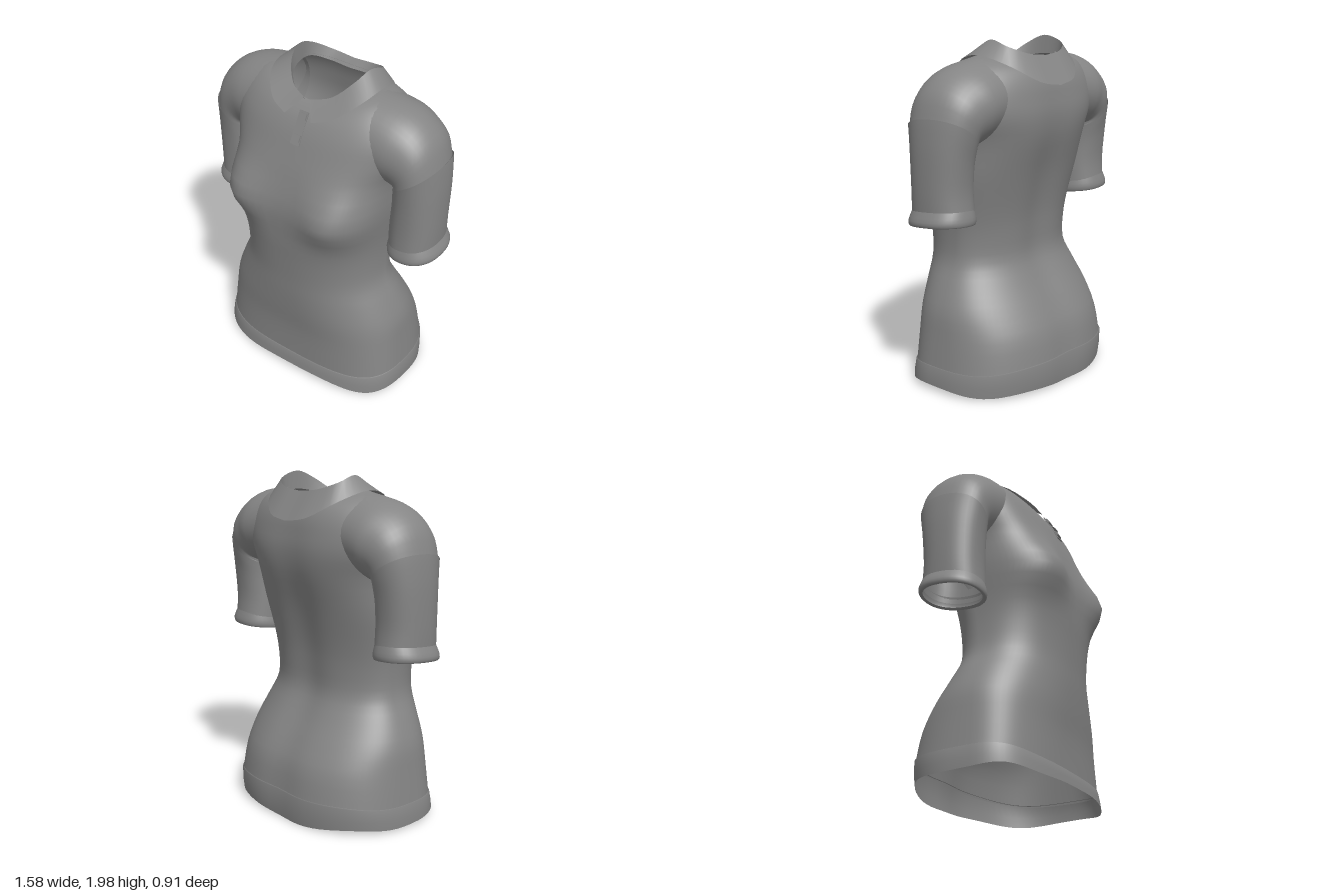
import * as THREE from 'three';

const cloth = new THREE.MeshStandardMaterial({ color: 0x858585, side: THREE.DoubleSide });
cloth.name = 'grey cloth';

// Skin a list of point rings, listed bottom to top
function loft(name, rings, closed = true, flip = false) {
  const n = rings[0].length, idx = [], cols = closed ? n : n - 1;
  for (let i = 0; i < rings.length - 1; i++) {
    for (let j = 0; j < cols; j++) {
      const k = (j + 1) % n;
      const a = i * n + j, b = i * n + k, c = a + n, d = b + n;
      if (flip) idx.push(a, b, c, b, d, c);
      else idx.push(a, c, b, b, c, d);
    }
  }
  const geo = new THREE.BufferGeometry();
  geo.setAttribute('position', new THREE.Float32BufferAttribute(rings.flat(2), 3));
  geo.setIndex(idx);
  geo.computeVertexNormals();
  const mesh = new THREE.Mesh(geo, cloth);
  mesh.name = name;
  return mesh;
}

// Smoothly resample rows of numbers
function smooth(rows, steps) {
  const out = [], at = i => rows[Math.max(0, Math.min(rows.length - 1, i))];
  for (let i = 0; i < rows.length - 1; i++) {
    for (let s = 0; s < steps; s++) {
      const t = s / steps;
      out.push(rows[i].map((p1, k) => {
        const p0 = at(i - 1)[k], p2 = at(i + 1)[k], p3 = at(i + 2)[k];
        return p1 + 0.5 * t * (p2 - p0 + t * (2 * p0 - 5 * p1 + 4 * p2 - p3 + t * (3 * (p1 - p2) + p3 - p0)));
      }));
    }
  }
  out.push(rows[rows.length - 1]);
  return out;
}

const bell = (v, s) => Math.exp(-v * v / (2 * s * s));
const pow = (v, e) => Math.sign(v) * Math.abs(v) ** e;

// Torso section: heights at front, side and back, half width, front z, back z,
// squareness of front and back, z of the side seam
function torsoRing([yF, yS, yB, w, zF, zB, nF, nB, mid], grow = 0, ripple = 0) {
  const ring = [];
  for (let j = 0; j < 80; j++) {
    const a = j / 80 * Math.PI * 2, c = Math.cos(a), s = Math.sin(a);
    const n = s > 0 ? nF : nB;
    const x = (w + grow) * pow(c, 2 / n), out = pow(s, 2 / n);
    const depth = s > 0 ? zF - mid : mid - zB;
    let z = mid + (depth + grow) * out;
    const y = yS + ((s > 0 ? yF : yB) - yS) * s * s + ripple * Math.sin(5 * a + 1);
    if (s > 0) z += 0.075 * out * bell(Math.abs(x) - 0.34, 0.14) * bell(y - 1.25, y < 1.25 ? 0.095 : 0.12);
    else z -= 0.035 * out * bell(x, 0.1) * bell(y - 0.85, 0.6);
    ring.push([x, y, z]);
  }
  return ring;
}

const torsoKeys = [
  [0.12, 0.15, 0.18, 0.62, 0.365, -0.46, 3, 2.5, 0.02],
  [0.32, 0.33, 0.34, 0.60, 0.365, -0.435, 2.8, 2.4, 0.02],
  [0.48, 0.48, 0.48, 0.58, 0.38, -0.37, 2.5, 2.2, 0.02],
  [0.62, 0.62, 0.62, 0.525, 0.39, -0.29, 2.3, 2.1, 0.03],
  [0.75, 0.75, 0.75, 0.465, 0.395, -0.235, 2.3, 2, 0.03],
  [0.90, 0.90, 0.90, 0.455, 0.405, -0.235, 2.4, 2, 0.02],
  [1.05, 1.05, 1.05, 0.465, 0.415, -0.25, 2.7, 2.1, 0],
  [1.25, 1.25, 1.25, 0.49, 0.41, -0.29, 3.4, 2.3, -0.02],
  [1.45, 1.45, 1.45, 0.50, 0.365, -0.345, 2.9, 2.4, -0.03],
  [1.58, 1.59, 1.58, 0.545, 0.32, -0.36, 2.6, 2.5, -0.03],
  [1.68, 1.72, 1.68, 0.56, 0.28, -0.35, 2.4, 2.4, -0.03],
  [1.75, 1.82, 1.76, 0.51, 0.24, -0.335, 2.3, 2.3, -0.03],
  [1.79, 1.88, 1.83, 0.41, 0.205, -0.305, 2.3, 2.3, -0.03],
  [1.82, 1.90, 1.87, 0.31, 0.17, -0.255, 2.3, 2.4, -0.03],
  [1.83, 1.91, 1.89, 0.265, 0.15, -0.22, 2.3, 2.7, -0.03],
];

// Turned hem band, slightly proud of the body: section, growth, ripple
const hemKeys = [
  [[0.04, 0.04, 0.025, 0.625, 0.378, -0.45, 3, 2.4, 0.02], 0.008, 0.01],
  [[0.08, 0.09, 0.09, 0.625, 0.372, -0.46, 3, 2.4, 0.02], 0.008, 0.005],
  [[0.125, 0.155, 0.185, 0.618, 0.365, -0.46, 3, 2.5, 0.02], 0.006, 0.004],
  [[0.13, 0.16, 0.19, 0.618, 0.365, -0.458, 3, 2.5, 0.02], -0.003, 0.004],
];

// Arm section: outer x, y; inner x, y; front z; back z; roundness; forward lean of the top
const sleeveKeys = [
  [0.765, 1.09, 0.475, 1.05, 0.14, -0.22, 0.88, 0],
  [0.77, 1.22, 0.475, 1.18, 0.135, -0.21, 0.88, 0],
  [0.77, 1.42, 0.485, 1.30, 0.14, -0.225, 0.88, 0],
  [0.762, 1.55, 0.49, 1.38, 0.148, -0.25, 0.9, 0.01],
  [0.755, 1.61, 0.49, 1.43, 0.153, -0.265, 0.9, 0.02],
];
const shoulderKeys = [
  [0.748, 1.60, 0.49, 1.41, 0.15, -0.262, 0.92, 0.02],
  [0.707, 1.725, 0.50, 1.42, 0.155, -0.28, 0.95, 0.03],
  [0.62, 1.82, 0.48, 1.42, 0.165, -0.295, 1, 0.04],
  [0.50, 1.873, 0.45, 1.43, 0.18, -0.31, 1, 0.04],
  [0.34, 1.90, 0.35, 1.45, 0.18, -0.30, 1, 0.04],
];
const cuffKeys = [
  [0.765, 1.035, 0.49, 1.02, 0.125, -0.21, 0.88, 0],
  [0.785, 1.03, 0.475, 1.01, 0.145, -0.225, 0.88, 0],
  [0.79, 1.06, 0.468, 1.04, 0.15, -0.23, 0.88, 0],
  [0.762, 1.12, 0.478, 1.09, 0.136, -0.216, 0.88, 0],
];

function armRing([ox, oy, ix, iy, zF, zB, round, lean], side) {
  const ring = [];
  for (let j = 0; j < 40; j++) {
    const a = j / 40 * Math.PI * 2;
    const u = 0.5 + 0.5 * pow(Math.cos(a), round), v = pow(Math.sin(a), round);
    const z = (zF + zB) / 2 + (zF - zB) / 2 * v + lean * pow(u, 2);
    const y = iy + (oy - iy) * u - 0.08 * (z + 0.04);
    ring.push([side * (ix + (ox - ix) * u), y, z]);
  }
  return ring;
}

// Collar edges on the left half, from front opening to centre back
const collarEdges = [
  [[0.09, 1.76, 0.25], [0.2, 1.80, 0.215], [0.31, 1.885, 0.09], [0.335, 1.915, -0.05],
    [0.29, 1.86, -0.24], [0.15, 1.77, -0.35], [0, 1.745, -0.37]],
  [[0.02, 1.84, 0.165], [0.13, 1.87, 0.12], [0.215, 1.95, 0.03], [0.245, 1.995, -0.07],
    [0.245, 1.96, -0.19], [0.14, 1.92, -0.255], [0, 1.905, -0.265]],
  [[0.02, 1.80, 0.15], [0.13, 1.83, 0.10], [0.205, 1.87, 0.03], [0.24, 1.89, -0.07],
    [0.243, 1.88, -0.18], [0.14, 1.87, -0.215], [0, 1.87, -0.207]],
];

function collarRing(keys) {
  const half = new THREE.CatmullRomCurve3(keys.map(k => new THREE.Vector3(...k))).getPoints(24);
  const right = half.map(p => [-p.x, p.y, p.z]);
  const left = half.slice(0, -1).reverse().map(p => [p.x, p.y, p.z]);
  return [...right, ...left];
}

export function createModel() {
  const shirt = new THREE.Group();
  shirt.name = 'poloShirt';

  shirt.add(loft('torso', smooth(torsoKeys, 3).map(r => torsoRing(r))));
  shirt.add(loft('hemBand', hemKeys.map(k => torsoRing(...k))));

  // Shoulders, sleeves and cuffs
  for (const side of [1, -1]) {
    const arm = new THREE.Group();
    arm.name = side > 0 ? 'leftArm' : 'rightArm';
    for (const [name, keys] of [['shoulder', shoulderKeys], ['sleeve', sleeveKeys], ['cuff', cuffKeys]]) {
      arm.add(loft(name, smooth(keys, 3).map(r => armRing(r, side)), true, side < 0));
    }
    shirt.add(arm);
  }

  // Folded collar: leaf outside, stand inside
  const [edge, fold, stand] = collarEdges.map(collarRing);
  shirt.add(loft('collarLeaf', [edge, fold], false));
  shirt.add(loft('collarStand', [fold, stand], false));

  // Button placket following the slope of the chest
  const placket = new THREE.Group();
  placket.name = 'placket';
  placket.position.set(0.025, 1.712, 0.262);
  placket.rotation.x = -0.5;
  const strip = new THREE.Mesh(new THREE.BoxGeometry(0.06, 0.19, 0.006), cloth);
  strip.name = 'placketStrip';
  placket.add(strip);
  for (const y of [0.065, -0.055]) {
    const button = new THREE.Mesh(new THREE.BoxGeometry(0.046, 0.036, 0.016), cloth);
    button.name = 'button';
    button.position.set(0.003, y, 0.004);
    placket.add(button);
  }
  shirt.add(placket);
  return shirt;
}
